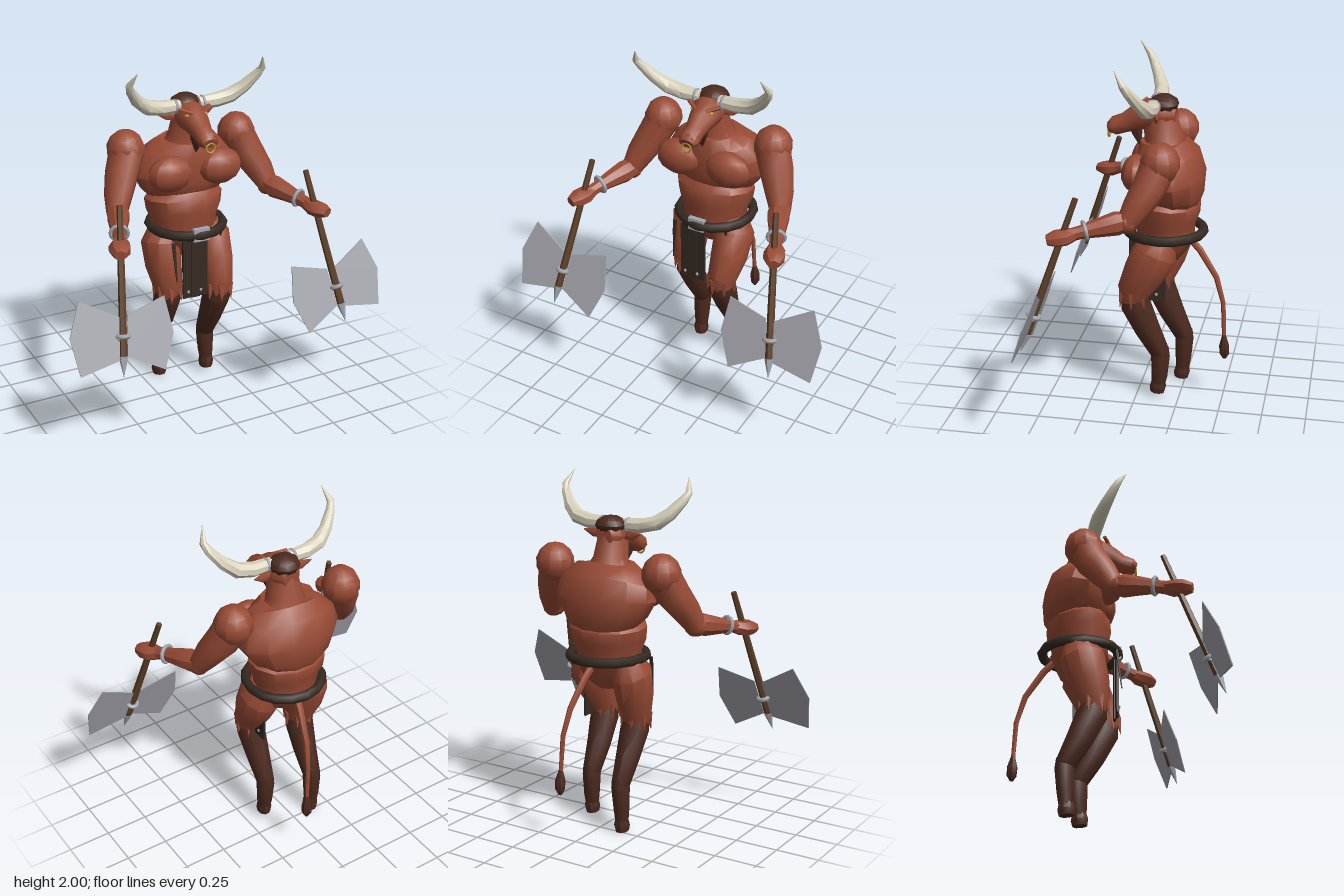
import * as THREE from 'three';
import { toCreasedNormals } from 'three/addons/utils/BufferGeometryUtils.js';

const V3 = (a) => new THREE.Vector3(a[0], a[1], a[2]);

// Closed skin over elliptical sections [x, y, z, radiusU, radiusV]
function loft(sections, sides = 10, ref = [0, 0, 1], crease = 0.75) {
  const pos = [], idx = [], n = sections.length, r = V3(ref);
  sections.forEach((s, i) => {
    const t = V3(sections[Math.min(i + 1, n - 1)]).sub(V3(sections[Math.max(i - 1, 0)])).normalize();
    const u = r.clone().cross(t).normalize(), v = t.clone().cross(u);
    for (let j = 0; j < sides; j++) {
      const a = (j + 0.5) / sides * Math.PI * 2;
      const p = V3(s).addScaledVector(u, Math.cos(a) * s[3]).addScaledVector(v, Math.sin(a) * (s[4] ?? s[3]));
      pos.push(p.x, p.y, p.z);
    }
  });
  for (let i = 0; i < n - 1; i++) for (let j = 0; j < sides; j++) {
    const k = (j + 1) % sides, a = i * sides + j, b = i * sides + k;
    idx.push(a, b, b + sides, a, b + sides, a + sides);
  }
  pos.push(...sections[0].slice(0, 3), ...sections[n - 1].slice(0, 3));
  const c0 = n * sides, last = (n - 1) * sides;
  for (let j = 0; j < sides; j++) {
    const k = (j + 1) % sides;
    idx.push(c0, k, j, c0 + 1, last + j, last + k);
  }
  const g = new THREE.BufferGeometry();
  g.setAttribute('position', new THREE.Float32BufferAttribute(pos, 3));
  g.setIndex(idx);
  return toCreasedNormals(g, crease);
}

const ball = (x, y, z, rx, ry, rz, w = 10, h = 7) =>
  toCreasedNormals(new THREE.SphereGeometry(1, w, h).scale(rx, ry, rz), 0.6).translate(x, y, z);

// Ring around an axis direction
function ring(center, dir, radius, tube) {
  const g = new THREE.TorusGeometry(radius, tube, 6, 12);
  g.applyQuaternion(new THREE.Quaternion().setFromUnitVectors(new THREE.Vector3(0, 0, 1), V3(dir).normalize()));
  return g.translate(...center);
}

export function createModel() {
  const mat = (name, color) => {
    const m = new THREE.MeshStandardMaterial({ color });
    m.name = name;
    return m;
  };
  const skin = mat('russet skin', 0x984b35), fur = mat('dark fur', 0x4b291e);
  const leather = mat('leather', 0x352a22), horn = mat('horn', 0xd6cfba);
  const steel = mat('blade steel', 0xa3a3ab), silver = mat('silver', 0xa4a9b0);
  const wood = mat('wood', 0x5e4028), gold = mat('gold', 0xb8942c);
  steel.side = THREE.DoubleSide;

  const model = new THREE.Group();
  model.name = 'hornedWarrior';
  const add = (name, geometry, material) => {
    const m = new THREE.Mesh(geometry, material);
    m.name = name;
    model.add(m);
  };

  // Torso
  add('chest', loft([[0, 1.19, -0.17, 0.2, 0.16], [0, 1.23, -0.18, 0.25, 0.18], [0.005, 1.33, -0.18, 0.31, 0.19],
    [0.005, 1.42, -0.16, 0.29, 0.18], [0, 1.49, -0.12, 0.22, 0.15], [0, 1.525, -0.12, 0.13, 0.12]], 12), skin);
  add('belly', loft([[0, 0.97, -0.15, 0.19, 0.16], [0, 1.05, -0.15, 0.2, 0.165], [0, 1.11, -0.155, 0.225, 0.185],
    [0, 1.18, -0.16, 0.235, 0.185], [0, 1.215, -0.165, 0.2, 0.16]], 12), skin);
  add('hips', loft([[0, 0.82, -0.15, 0.06, 0.07], [0, 0.88, -0.15, 0.17, 0.12], [0, 0.98, -0.15, 0.21, 0.17]], 10), skin);
  add('neck', loft([[0, 1.46, -0.14, 0.16, 0.13], [0, 1.55, -0.13, 0.1, 0.11], [0, 1.7, -0.1, 0.08, 0.09]], 10), skin);

  // Belt, buckle and hanging cloth
  const belt = new THREE.TorusGeometry(0.215, 0.028, 6, 16).rotateX(Math.PI / 2).scale(1, 1, 1.02);
  add('belt', belt.translate(0.01, 1.005, -0.145), leather);
  add('buckle', new THREE.BoxGeometry(0.1, 0.075, 0.03).translate(0, 1.008, 0.068), silver);
  for (const i of [-1, 0, 1])
    add('frontClothStrip', new THREE.BoxGeometry(0.051, 0.36, 0.014).translate(-0.033 + i * 0.052, 0.8, 0.06 - Math.abs(i) * 0.006), leather);
  for (const x of [-0.08, 0])
    add('clothStud', ball(x, 0.66, 0.066, 0.01, 0.01, 0.008, 6, 4), silver);
  const flap = new THREE.Shape([[-0.02, 0.98], [0.05, 0.98], [0.17, 0.8], [0.17, 0.62], [0.08, 0.62]].map((p) => new THREE.Vector2(...p)));
  add('sideCloth', new THREE.ExtrudeGeometry(flap, { depth: 0.012, bevelEnabled: false }).rotateY(Math.PI / 2).translate(0.15, 0, 0), leather);
  add('sideStud', ball(0.164, 0.66, -0.12, 0.008, 0.01, 0.01, 6, 4), silver);
  add('hipStrip', loft([[-0.16, 0.97, 0.04, 0.015, 0.008], [-0.155, 0.74, 0.07, 0.004, 0.004]], 4), leather);

  // Head, from the back of the skull to the snout
  add('head', loft([[0, 1.68, -0.2, 0.05, 0.05], [0, 1.68, -0.15, 0.085, 0.085], [0, 1.675, -0.05, 0.085, 0.092],
    [0, 1.645, 0.03, 0.07, 0.07], [0, 1.615, 0.09, 0.055, 0.056], [0, 1.595, 0.15, 0.052, 0.062],
    [0, 1.585, 0.18, 0.03, 0.045]], 10, [1, 0, 0]), skin);
  add('snout', ball(0, 1.605, 0.162, 0.052, 0.032, 0.022, 8, 5), fur);
  add('crownHair', ball(0, 1.735, -0.13, 0.088, 0.055, 0.085, 10, 6), fur);
  add('beard', loft([[0, 1.6, 0.03, 0.05, 0.035], [0, 1.56, 0.02, 0.04, 0.03], [0, 1.48, 0, 0.003, 0.003]], 6), fur);
  add('noseRing', new THREE.TorusGeometry(0.027, 0.006, 6, 12).translate(0, 1.56, 0.178), gold);

  // Tail
  add('tail', loft([[0.02, 0.97, -0.28, 0.022], [0.035, 0.9, -0.35, 0.02], [0.06, 0.75, -0.45, 0.017],
    [0.08, 0.6, -0.495, 0.014], [0.09, 0.4, -0.505, 0.012]], 7), skin);
  add('tailTuft', loft([[0.09, 0.41, -0.505, 0.01], [0.093, 0.34, -0.508, 0.03], [0.093, 0.29, -0.51, 0.028],
    [0.093, 0.26, -0.51, 0.01]], 7), fur);

  for (const s of [1, -1]) {
    const side = s > 0 ? 'left' : 'right';
    const put = (name, geometry, material) => add(side + name, geometry, material);
    const flip = (list) => list.map(([x, ...rest]) => [x * s, ...rest]);

    // Face details and horn
    put('Eye', ball(s * 0.055, 1.703, 0.008, 0.016, 0.01, 0.012, 6, 4), gold);
    put('Brow', loft(flip([[0.025, 1.71, 0.022, 0.012], [0.095, 1.735, -0.02, 0.012]]), 5), skin);
    put('Ear', loft(flip([[0.07, 1.68, -0.1, 0.025, 0.02], [0.125, 1.68, -0.11, 0.028, 0.014], [0.185, 1.695, -0.12, 0.003, 0.003]]), 6), skin);
    put('HornCollar', ring([s * 0.085, 1.735, -0.085], [1, 0, 0], 0.034, 0.009), silver);
    put('Horn', loft(flip([[0.06, 1.735, -0.085, 0.036], [0.17, 1.737, -0.085, 0.042], [0.26, 1.757, -0.075, 0.043],
      [0.33, 1.81, -0.045, 0.036], [0.385, 1.88, -0.005, 0.027], [0.405, 1.92, 0.02, 0.02], [0.378, 1.998, 0.07, 0.002]]), 8), horn);

    // Chest muscle and arm
    put('Pectoral', ball(s * 0.155, 1.375, -0.005, 0.135, 0.105, 0.085), skin);
    put('Shoulder', ball(s * 0.35, 1.5, -0.17, 0.11, 0.115, 0.11), skin);
    put('UpperArm', loft(flip([[0.35, 1.49, -0.16, 0.1], [0.4, 1.38, -0.12, 0.095], [0.45, 1.28, -0.06, 0.08],
      [0.48, 1.2, -0.015, 0.06]]), 9), skin);
    put('Elbow', ball(s * 0.477, 1.205, -0.015, 0.065, 0.065, 0.065, 8, 6), skin);
    put('Forearm', loft(flip([[0.465, 1.215, -0.03, 0.05], [0.495, 1.2, 0.04, 0.065], [0.53, 1.185, 0.12, 0.052],
      [0.57, 1.165, 0.22, 0.036], [0.585, 1.155, 0.26, 0.036]]), 8, [0, 1, 0]), skin);
    put('Bracelet', ring([s * 0.56, 1.175, 0.195], [s * 0.38, -0.17, 0.9], 0.047, 0.011), silver);
    put('Hand', loft(flip([[0.578, 1.158, 0.245, 0.035, 0.035], [0.6, 1.145, 0.29, 0.06, 0.045], [0.62, 1.14, 0.34, 0.06, 0.045],
      [0.638, 1.135, 0.385, 0.035, 0.028]]), 7, [0, 1, 0]), skin);

    // Axe: shaft, spike, bindings and two blades on one slanted plane
    const axis = [s * 0.125, -0.85, 0.29];
    put('AxeShaft', loft(flip([[0.574, 1.355, 0.24, 0.016], [0.63, 0.97, 0.37, 0.02], [0.687, 0.59, 0.5, 0.022]]), 6), wood);
    put('AxeSpike', loft(flip([[0.685, 0.605, 0.495, 0.026], [0.7, 0.5, 0.53, 0.001]]), 6), silver);
    put('AxeBinding', ring([s * 0.67, 0.705, 0.46], axis, 0.031, 0.013), silver);
    put('AxeSocket', loft(flip([[0.7, 0.7, 0.46, 0.018], [0.64, 0.7, 0.46, 0.018]]), 6), silver);
    const blades = [
      [[0.884, 0.926], [0.963, 0.751], [0.937, 0.55], [0.694, 0.588], [0.673, 0.804]],
      [[0.625, 0.805], [0.4, 0.86], [0.377, 0.667], [0.456, 0.487], [0.66, 0.598]],
    ];
    for (const outline of blades) {
      const shape = new THREE.Shape(outline.map(([x, y]) => new THREE.Vector2(s * x, y)));
      const g = new THREE.ExtrudeGeometry(shape, { depth: 0.006, bevelEnabled: false });
      const p = g.attributes.position;
      for (let i = 0; i < p.count; i++) p.setZ(i, p.getZ(i) + 0.457 - 0.341 * (p.getY(i) - 0.7));
      g.computeVertexNormals();
      put('AxeBlade', g, steel);
    }

    // Leg: the left one stands ahead of the right
    const knee = s > 0 ? 0.015 : -0.085, ankle = s > 0 ? -0.14 : -0.24, drop = s > 0 ? 0.03 : 0;
    const hip = s > 0 ? -0.11 : -0.15;
    put('Thigh', loft(flip([[0.12, 0.98, hip - 0.02, 0.09, 0.1], [0.15, 0.91, hip, 0.115, 0.13],
      [0.15, 0.78, (hip + knee) / 2, 0.105, 0.12], [0.14, 0.66, knee, 0.085, 0.095], [0.137, 0.59, knee, 0.07, 0.07]]), 10), skin);
    put('Shin', loft(flip([[0.137, 0.66, knee, 0.07, 0.075], [0.137, 0.58, knee - 0.01, 0.082, 0.088],
      [0.133, 0.43, (knee + ankle) / 2, 0.068, 0.075], [0.132, 0.28, ankle, 0.052, 0.056], [0.132, 0.25, ankle, 0.04, 0.045]]), 9), fur);
    put('Pastern', loft(flip([[0.132, 0.32, ankle, 0.045, 0.048], [0.132, 0.26, ankle, 0.053, 0.056],
      [0.135, 0.13, ankle + 0.005, 0.045, 0.048], [0.135, 0.05 + drop, ankle + 0.01, 0.037, 0.04]]), 9), fur);
    put('Hoof', loft(flip([[0.135, 0.075 + drop, ankle + 0.01, 0.036, 0.04], [0.135, 0.035 + drop, ankle + 0.012, 0.045, 0.05],
      [0.135, drop, ankle + 0.015, 0.038, 0.043]]), 8), fur);

    // Shaggy fringe over the knee
    for (let i = 0; i < 7; i++) {
      const a = i / 7 * Math.PI * 2, x = s * 0.138 + Math.cos(a) * 0.068, z = knee + Math.sin(a) * 0.074;
      put('KneeTuft', loft([[x, 0.67, z, 0.03, 0.018], [x + Math.cos(a) * 0.016, 0.575, z + Math.sin(a) * 0.016, 0.002, 0.002]], 4), skin);
    }
  }
  return model;
}
